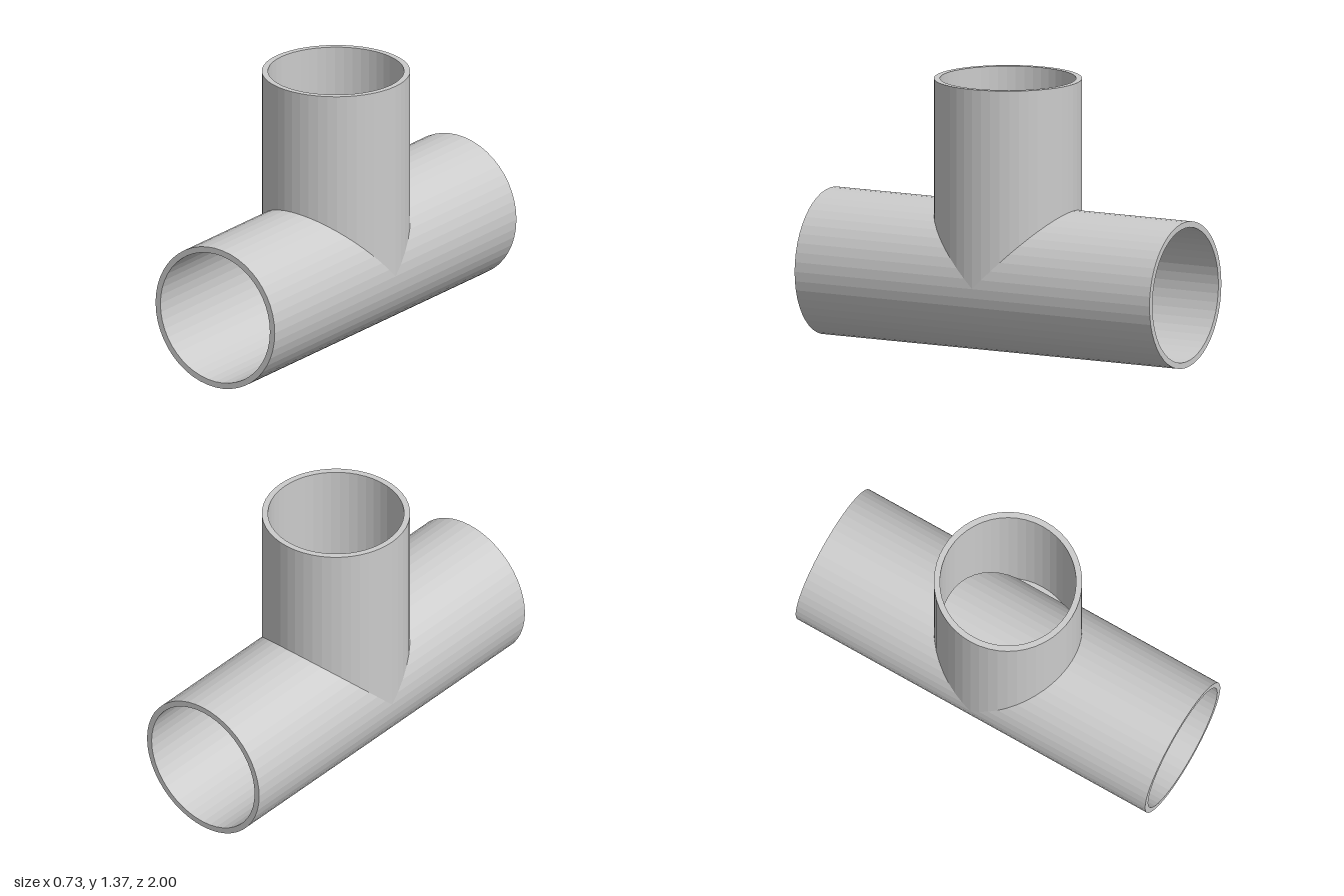
import * as THREE from 'three';

const SIDES = 48;
const OUTER = 0.366;
const INNER = 0.336;
const AXIS_Y = 0.366;
const STEP = (Math.PI * 2) / SIDES;
const LEDGE_STEPS = 3; // the branch bore stops this many facets above the run's axis
const LEDGE = Math.sin(LEDGE_STEPS * STEP);

// Faceted tube wall around z; from/to give its two ends per angle and facet middle
function wall(radius, from, to, inward) {
  const positions = [];
  for (let i = 0; i < SIDES; i++) {
    const a = i * STEP, b = a + STEP, mid = a + STEP / 2;
    const at = (t, end) => [radius * Math.cos(t), radius * Math.sin(t), end(t, mid)];
    const quad = [at(a, from), at(b, from), at(b, to), at(a, to)];
    const order = inward ? [0, 2, 1, 0, 3, 2] : [0, 1, 2, 0, 2, 3];
    order.forEach((k) => positions.push(...quad[k]));
  }
  const geometry = new THREE.BufferGeometry();
  geometry.setAttribute('position', new THREE.Float32BufferAttribute(positions, 3));
  geometry.computeVertexNormals();
  return geometry;
}

export function createModel() {
  const model = new THREE.Group();
  model.name = 'pipeTee';
  const material = new THREE.MeshStandardMaterial({ color: 0xcccccc, flatShading: true });

  const add = (parent, name, geometry) => {
    const mesh = new THREE.Mesh(geometry, material);
    mesh.name = name;
    parent.add(mesh);
    return mesh;
  };
  const rim = () => new THREE.RingGeometry(INNER, OUTER, SIDES, 1);
  const end = () => 1;

  // Straight run along z, its upper half mitred around the branch
  const run = new THREE.Group();
  run.name = 'mainPipe';
  run.position.y = AXIS_Y;
  model.add(run);
  const outerCut = (t) => Math.max(0, OUTER * Math.sin(t));
  const innerCut = (t, mid) => (Math.sin(mid) > LEDGE ? INNER * Math.sin(t) : 0);
  for (const [side, turn] of [['front', 1], ['back', -1]]) {
    const span = (cut) => (turn > 0
      ? [cut, end]
      : [() => -1, (t, mid) => -cut(t, mid)]);
    add(run, side + 'OuterWall', wall(OUTER, ...span(outerCut), false));
    add(run, side + 'Bore', wall(INNER, ...span(innerCut), true));
    const ring = add(run, side + 'Rim', rim());
    ring.position.z = turn;
    if (turn < 0) ring.rotation.y = Math.PI;
  }

  // Upright branch: local z points up
  const branch = new THREE.Group();
  branch.name = 'branchPipe';
  branch.position.y = AXIS_Y;
  branch.rotation.x = -Math.PI / 2;
  model.add(branch);
  add(branch, 'branchOuterWall', wall(OUTER, (t) => OUTER * Math.abs(Math.sin(t)), end, false));
  add(branch, 'branchBore',
    wall(INNER, (t) => INNER * Math.max(LEDGE, Math.abs(Math.sin(t))), end, true));
  add(branch, 'branchRim', rim()).position.z = 1;

  // Small flat ledges where the branch bore ends beside the run's bore
  const arc = [];
  for (let i = -LEDGE_STEPS; i <= LEDGE_STEPS; i++) {
    arc.push(new THREE.Vector2(INNER * Math.cos(i * STEP), INNER * Math.sin(i * STEP)));
  }
  for (const [name, turn] of [['leftLedge', 0], ['rightLedge', Math.PI]]) {
    const ledge = add(branch, name, new THREE.ShapeGeometry(new THREE.Shape(arc)));
    ledge.position.z = INNER * LEDGE;
    ledge.rotation.z = turn;
  }

  return model;
}
